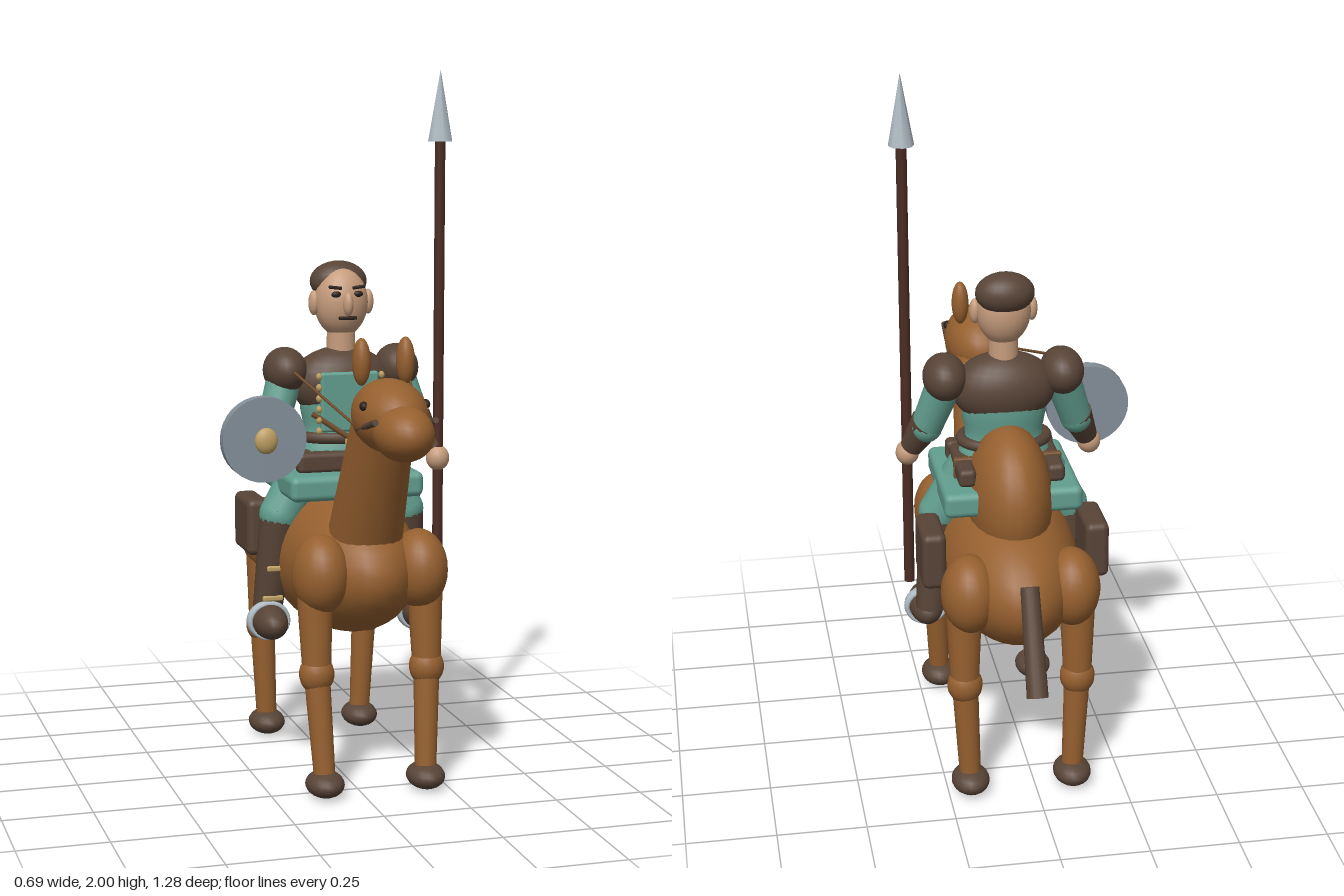
import * as THREE from 'three';
import { RoundedBoxGeometry } from 'three/addons/geometries/RoundedBoxGeometry.js';

const mat = (name, color) => {
  const m = new THREE.MeshStandardMaterial({ color });
  m.name = name;
  return m;
};
const V = (x, y, z) => new THREE.Vector3(x, y, z);

export function createModel() {
  const hide = mat('camel hide', 0x96602f);
  const leather = mat('dark leather', 0x584437);
  const teal = mat('teal cloth', 0x629e8e);
  const skin = mat('skin', 0xc69c7c);
  const gold = mat('brass', 0xbd9f62);
  const iron = mat('iron', 0x84909a);
  const steel = mat('bright steel', 0xb2bec6);
  const wood = mat('dark wood', 0x4c2c22);
  const strapMat = mat('strap leather', 0x75502f);
  const dark = mat('dark detail', 0x2c201a);

  const root = new THREE.Group();
  root.name = 'camelRider';
  const centre = new THREE.Group();  // everything symmetric sits on this axis
  centre.position.x = 0.04;
  root.add(centre);
  const group = (name) => {
    const g = new THREE.Group();
    g.name = name;
    centre.add(g);
    return g;
  };
  const add = (parent, name, geo, m, p = [0, 0, 0]) => {
    const mesh = new THREE.Mesh(geo, m);
    mesh.name = name;
    mesh.position.set(...p);
    parent.add(mesh);
    return mesh;
  };
  // Ellipsoid with centre p and radii r
  const ball = (parent, name, m, p, r, seg = 24) =>
    add(parent, name, new THREE.SphereGeometry(1, seg, Math.round(seg * 0.67)).scale(...r), m, p);
  // Tapered rod from a to b
  const rod = (parent, name, m, a, b, r0, r1 = r0, seg = 16) => {
    const A = V(...a), B = V(...b), d = B.clone().sub(A);
    const mesh = add(parent, name, new THREE.CylinderGeometry(r1, r0, d.length(), seg), m);
    mesh.position.copy(A).add(B).multiplyScalar(0.5);
    mesh.quaternion.setFromUnitVectors(V(0, 1, 0), d.normalize());
    return mesh;
  };
  const box = (parent, name, m, p, s, r = 0.015) =>
    add(parent, name, new RoundedBoxGeometry(...s, 3, r), m, p);
  const sides = [-1, 1];

  // Camel body, hump and neck
  const camel = group('camel');
  ball(camel, 'body', hide, [0, 0.61, -0.07], [0.2, 0.21, 0.42], 32);
  ball(camel, 'hump', hide, [0, 0.82, -0.145], [0.12, 0.21, 0.2]);
  rod(camel, 'neck', hide, [0, 0.6, 0.13], [0, 1.08, 0.365], 0.112, 0.085, 24);
  ball(camel, 'cranium', hide, [0, 1.085, 0.41], [0.1, 0.1, 0.15]);
  ball(camel, 'muzzle', hide, [0, 1.055, 0.53], [0.08, 0.075, 0.11]);
  rod(camel, 'tail', leather, [0, 0.7, -0.485], [0, 0.43, -0.612], 0.026, 0.03);
  for (const [y, z] of [[0.98, 0.235], [0.935, 0.205], [0.89, 0.18]])
    ball(camel, 'maneTuft', leather, [0, y, z], [0.03, 0.045, 0.032], 14);

  for (const s of sides) {
    ball(camel, 'camelEar', hide, [s * 0.062, 1.225, 0.352], [0.025, 0.065, 0.031], 16);
    ball(camel, 'camelEye', dark, [s * 0.086, 1.12, 0.455], [0.012, 0.013, 0.017], 12);
    rod(camel, 'bit', leather, [s * 0.083, 1.09, 0.55], [s * 0.086, 1.05, 0.4], 0.009, 0.009, 8);
    rod(camel, 'rein', strapMat, [s * 0.085, 1.052, 0.42], [s * 0.165, 1.16, 0.05], 0.004, 0.004, 6);
    // Legs: shoulder or haunch, upper leg, knee, lower leg, foot
    for (const [name, zTop, zKnee, zFoot] of [['front', 0.232, 0.255, 0.292], ['hind', -0.342, -0.352, -0.355]]) {
      ball(camel, name + 'Haunch', hide, [s * 0.143, 0.622, zTop], [0.08, 0.112, 0.1]);
      rod(camel, name + 'UpperLeg', hide, [s * 0.16, 0.6, zTop], [s * 0.16, 0.35, zKnee], 0.052, 0.04);
      ball(camel, name + 'Knee', hide, [s * 0.16, 0.345, zKnee], [0.05, 0.055, 0.047], 16);
      rod(camel, name + 'LowerLeg', hide, [s * 0.16, 0.35, zKnee], [s * 0.147, 0.05, zFoot], 0.037, 0.03);
      ball(camel, name + 'Foot', leather, [s * 0.147, 0.04, zFoot], [0.054, 0.037, 0.069], 18);
    }
  }

  // Saddle blanket, saddle rolls and bags
  const saddle = group('saddle');
  box(saddle, 'saddleBlanket', teal, [0, 0.838, -0.06], [0.39, 0.072, 0.37], 0.02);
  box(saddle, 'pommel', leather, [0, 0.9, 0.03], [0.31, 0.06, 0.05]);
  for (const s of sides) {
    box(saddle, 'saddleRoll', leather, [s * 0.125, 0.905, -0.1], [0.05, 0.052, 0.22]);
    box(saddle, 'rollStrap', strapMat, [s * 0.125, 0.905, -0.12], [0.056, 0.06, 0.02], 0.005);
    box(saddle, 'saddleBag', leather, [s * 0.23, 0.69, -0.193], [0.068, 0.165, 0.175], 0.02);
  }

  // Rider torso: teal tunic, leather cuirass, front panel and belts
  const rider = group('rider');
  const profile = [[0, 0.85], [0.115, 0.86], [0.125, 0.92], [0.105, 0.98], [0.115, 1.06], [0.1, 1.14], [0, 1.18]]
    .map(([x, y]) => new THREE.Vector2(x, y));
  add(rider, 'tunic', new THREE.LatheGeometry(new THREE.SplineCurve(profile).getPoints(24), 28).scale(1.05, 1, 0.72),
    teal, [0, 0, -0.055]);
  ball(rider, 'cuirass', leather, [0, 1.115, -0.055], [0.148, 0.105, 0.092]);
  box(rider, 'chestPanel', teal, [0, 1.07, 0.03], [0.17, 0.17, 0.022], 0.008);
  const belt = add(rider, 'belt', new THREE.TorusGeometry(0.115, 0.016, 8, 32).scale(1.05, 0.78, 1), leather, [0, 0.965, -0.055]);
  belt.rotation.x = Math.PI / 2;
  box(rider, 'buckle', gold, [0, 0.965, 0.048], [0.035, 0.03, 0.012], 0.004);
  for (const s of sides) {
    rod(rider, 'chestStrap', strapMat, [s * 0.11, 1.04, 0.035], [0, 0.965, 0.05], 0.008, 0.008, 8);
    for (let i = 0; i < 6; i++)
      ball(rider, 'stud', gold, [s * 0.092, 0.99 + i * 0.031, 0.04], [0.009, 0.011, 0.012], 8);
  }

  // Rider head
  const head = group('head');
  rod(head, 'neck', skin, [0, 1.18, -0.055], [0, 1.29, -0.055], 0.042, 0.04);
  ball(head, 'face', skin, [0, 1.345, -0.055], [0.077, 0.1, 0.073]);
  ball(head, 'hair', leather, [0, 1.403, -0.083], [0.083, 0.058, 0.062]);
  ball(head, 'nose', skin, [0, 1.345, 0.018], [0.015, 0.034, 0.02], 14);
  box(head, 'moustache', dark, [0, 1.306, 0.015], [0.052, 0.01, 0.012], 0.003);
  for (const s of sides) {
    ball(head, 'ear', skin, [s * 0.08, 1.345, -0.055], [0.016, 0.036, 0.02], 14);
    const brow = box(head, 'brow', dark, [s * 0.034, 1.392, 0.005], [0.038, 0.009, 0.012], 0.003);
    brow.rotation.z = s * 0.12;
    ball(head, 'eye', dark, [s * 0.032, 1.373, 0.008], [0.015, 0.009, 0.008], 12);
  }

  // Arms and legs, mirrored
  for (const s of sides) {
    const arm = group(s > 0 ? 'leftArm' : 'rightArm');
    const elbow = [s * 0.215, 0.995, -0.02];
    ball(arm, 'pauldron', leather, [s * 0.166, 1.155, -0.055], [0.062, 0.066, 0.083]);
    rod(arm, 'sleeve', teal, [s * 0.165, 1.14, -0.055], elbow, 0.052, 0.045);
    ball(arm, 'elbow', teal, elbow, [0.046, 0.046, 0.046], 16);
    rod(arm, 'bracer', leather, [s * 0.212, 1.01, -0.022], [s * 0.253, 0.92, 0.022], 0.048, 0.033);
    ball(arm, 'hand', skin, [s * 0.264, 0.897, 0.033], [0.034, 0.037, 0.034], 16);

    const leg = group(s > 0 ? 'leftLeg' : 'rightLeg');
    const knee = [s * 0.185, 0.74, -0.045];
    rod(leg, 'thigh', teal, [s * 0.1, 0.88, -0.06], knee, 0.065, 0.06);
    ball(leg, 'knee', teal, knee, [0.06, 0.06, 0.058], 18);
    rod(leg, 'boot', leather, [s * 0.188, 0.73, -0.045], [s * 0.218, 0.45, -0.07], 0.056, 0.042);
    ball(leg, 'foot', leather, [s * 0.225, 0.436, -0.015], [0.05, 0.05, 0.096]);
    for (const [y, x, z] of [[0.59, 0.203, -0.008], [0.5, 0.212, -0.024]])
      box(leg, 'bootClasp', gold, [s * x, y, z], [0.06, 0.016, 0.014], 0.005);
    // Stirrup arch around the foot
    const arch = add(leg, 'stirrup', new THREE.TorusGeometry(0.056, 0.008, 8, 24), steel, [s * 0.225, 0.436, -0.025]);
    arch.scale.set(1, 0.9, 2.5);
  }

  // Spear
  const spear = new THREE.Group();
  spear.name = 'spear';
  root.add(spear);
  rod(spear, 'shaft', wood, [0.305, 0.49, 0.033], [0.305, 1.81, 0.033], 0.015, 0.015, 12);
  add(spear, 'spearHead', new THREE.ConeGeometry(0.036, 0.2, 8), steel, [0.305, 1.9, 0.033]);

  // Round shield with boss
  const shield = new THREE.Group();
  shield.name = 'shield';
  shield.position.set(-0.23, 0.985, 0.1);
  root.add(shield);
  add(shield, 'disc', new THREE.CylinderGeometry(0.12, 0.12, 0.036, 32).rotateX(Math.PI / 2), iron);
  ball(shield, 'boss', gold, [0, 0, 0.034], [0.033, 0.037, 0.018], 18);
  return root;
}
